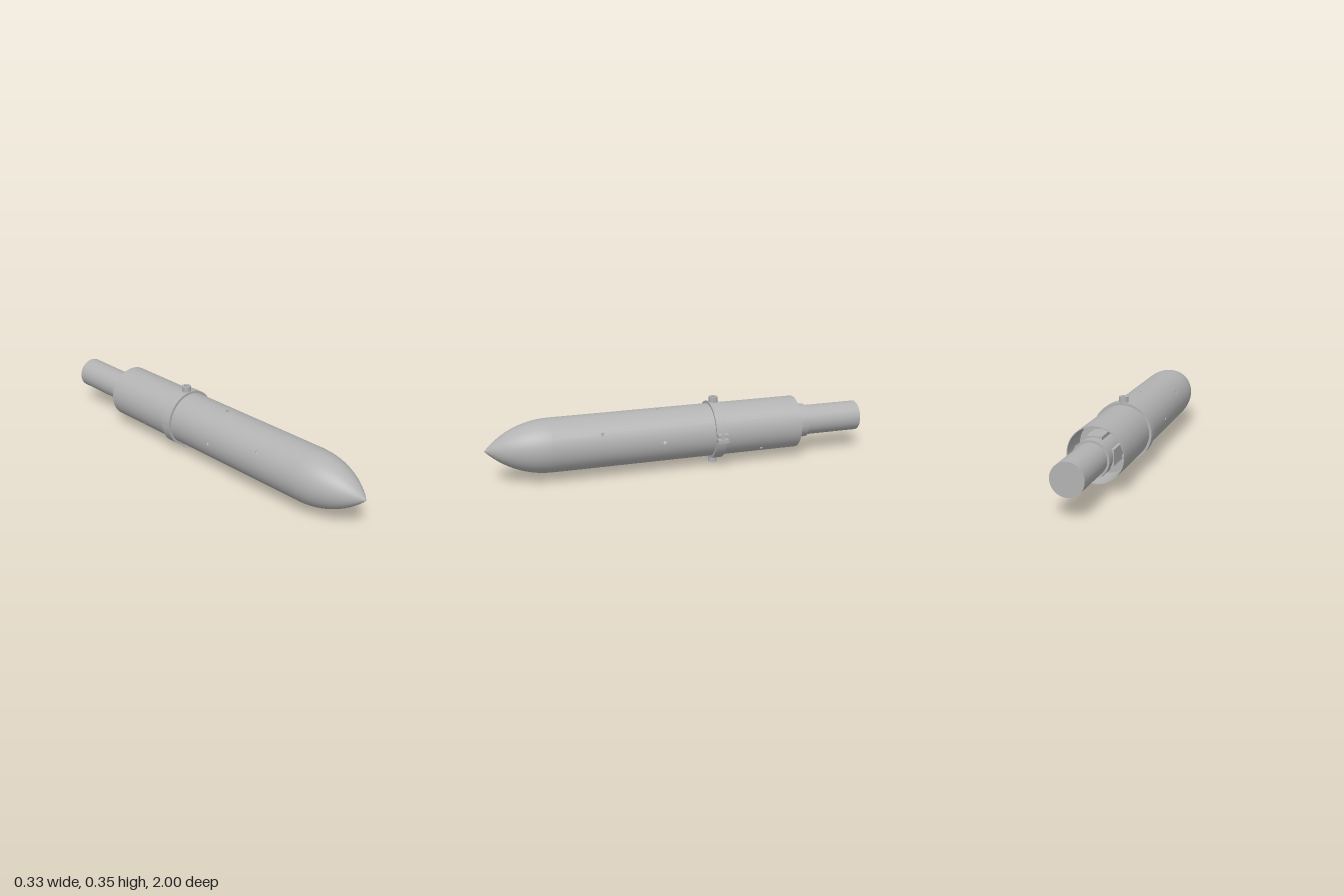
import * as THREE from 'three';
import { mergeGeometries, toCreasedNormals } from 'three/addons/utils/BufferGeometryUtils.js';

const R = 0.1375, WALL = 0.004;      // body tube
const REAR = -0.632, SHOULDER = 0.68; // body ends along z
const HOLE = 0.0085;
const deg = Math.PI / 180;

// Vent and pin holes in the body: [angle in degrees, z]
const HOLES = [
  [0, 0.118], [90, 0.118], [180, 0.118], [270, 0.118],
  [30, 0.433], [150, 0.433], [270, 0.433],
  [315, -0.42], [225, -0.42],
];

export function createModel() {
  const root = new THREE.Group();
  root.name = 'rocket';
  const gray = new THREE.MeshStandardMaterial({ color: 0xb2b2b2, side: THREE.DoubleSide });
  gray.name = 'gray';

  const axis = new THREE.Group();
  axis.name = 'rocketAxis';
  axis.position.set(-0.015, 0.177, 0);
  root.add(axis);

  const add = (name, geometry, parent = axis) => {
    const mesh = new THREE.Mesh(geometry, gray);
    mesh.name = name;
    parent.add(mesh);
    return mesh;
  };

  // Cylinder along z between two stations
  const rod = (r, z0, z1, open = false) =>
    new THREE.CylinderGeometry(r, r, z1 - z0, 64, 1, open)
      .rotateX(Math.PI / 2).translate(0, 0, (z0 + z1) / 2);

  const extrude = (shape, depth) => toCreasedNormals(
    new THREE.ExtrudeGeometry(shape, { depth, bevelEnabled: false, curveSegments: 48 }), 0.5);

  // Thin cylindrical shell made of bent panels, pierced by the holes
  function shell(r) {
    const count = 48, step = 360 / count, half = r * step * deg / 2;
    const panels = [];
    for (let i = 0; i < count; i++) {
      const angle = i * step;
      const shape = new THREE.Shape([
        new THREE.Vector2(-half, REAR), new THREE.Vector2(half, REAR),
        new THREE.Vector2(half, SHOULDER), new THREE.Vector2(-half, SHOULDER),
      ]);
      for (const [a, z] of HOLES) {
        if (a === angle) {
          shape.holes.push(new THREE.Path().absarc(0, z, HOLE, 0, Math.PI * 2, true));
        }
      }
      const g = new THREE.ShapeGeometry(shape, 8);
      const p = g.attributes.position, n = g.attributes.normal;
      for (let k = 0; k < p.count; k++) {
        const t = angle * deg + p.getX(k) / r;
        p.setXYZ(k, r * Math.cos(t), r * Math.sin(t), p.getY(k));
        n.setXYZ(k, Math.cos(t), Math.sin(t), 0);
      }
      panels.push(g);
    }
    return mergeGeometries(panels);
  }

  // Body tube with wall thickness, open at the rear
  add('bodyOuter', shell(R));
  add('bodyInner', shell(R - WALL));
  add('bodyRearRim', new THREE.RingGeometry(R - WALL, R, 96)
    .rotateY(Math.PI).translate(0, 0, REAR));
  for (const [a, z] of HOLES) {
    const wall = add('holeWall', new THREE.CylinderGeometry(HOLE, HOLE, WALL, 16, 1, true)
      .rotateZ(Math.PI / 2).translate(R - WALL / 2, 0, z));
    wall.rotation.z = a * deg;
  }

  // Pointed ogive nose
  const noseLength = 1 - SHOULDER, baseR = R - 0.0005;
  const rho = (baseR * baseR + noseLength * noseLength) / (2 * baseR);
  const profile = [];
  for (let i = 0; i <= 24; i++) {
    const d = noseLength * i / 24;
    profile.push(new THREE.Vector2(
      Math.max(0, Math.sqrt(rho * rho - d * d) + baseR - rho), SHOULDER + d));
  }
  add('noseCone', new THREE.LatheGeometry(profile, 64).rotateX(Math.PI / 2));

  // Motor, its collar and the guide pads inside the rear opening
  add('motor', rod(0.079, -1, -0.45));
  add('motorCollar', extrude(annulus(0.089, 0.079), 0.055).translate(0, 0, -0.697));
  add('motorSleeve', rod(0.085, -0.642, -0.45));
  for (let i = 0; i < 4; i++) {
    const pad = add('guidePad', new THREE.BoxGeometry(0.016, 0.076, 0.12)
      .translate(0.086, 0, -0.582));
    pad.rotation.z = i * Math.PI / 2;
  }
  add('bulkhead', rod(R - WALL, -0.46, -0.45));

  function annulus(outer, inner) {
    const s = new THREE.Shape().absarc(0, 0, outer, 0, Math.PI * 2, false);
    s.holes.push(new THREE.Path().absarc(0, 0, inner, 0, Math.PI * 2, true));
    return s;
  }

  // Split clamp band around the body
  const clamp = new THREE.Group();
  clamp.name = 'clamp';
  clamp.position.z = -0.182;
  axis.add(clamp);
  const width = 0.055, outer = 0.1505, gap = 0.005;
  const a0 = Math.asin(gap / outer), a1 = Math.asin(gap / R);
  const band = new THREE.Shape();
  band.absarc(0, 0, outer, a0, Math.PI * 2 - a0, false);
  band.absarc(0, 0, R, Math.PI * 2 - a1, a1, true);
  add('clampBand', extrude(band, width).translate(0, 0, -width / 2), clamp);

  // Paired flanges with a bolt hole, and bored bosses above and below
  const flange = new THREE.Shape([
    new THREE.Vector2(0.142, -width / 2), new THREE.Vector2(0.179, -width / 2),
    new THREE.Vector2(0.179, width / 2), new THREE.Vector2(0.142, width / 2),
  ]);
  flange.holes.push(new THREE.Path().absarc(0.165, 0, 0.008, 0, Math.PI * 2, true));
  for (const side of [1, -1]) {
    add('clampFlange', extrude(flange, 0.017).rotateX(-Math.PI / 2)
      .translate(0, side > 0 ? gap : -gap - 0.017, 0), clamp);
    const boss = add('clampBoss', extrude(annulus(0.0235, 0.012), 0.029)
      .rotateX(-Math.PI / 2).translate(0, 0.148, 0), clamp);
    boss.rotation.z = side > 0 ? 0 : Math.PI;
  }
  return root;
}
